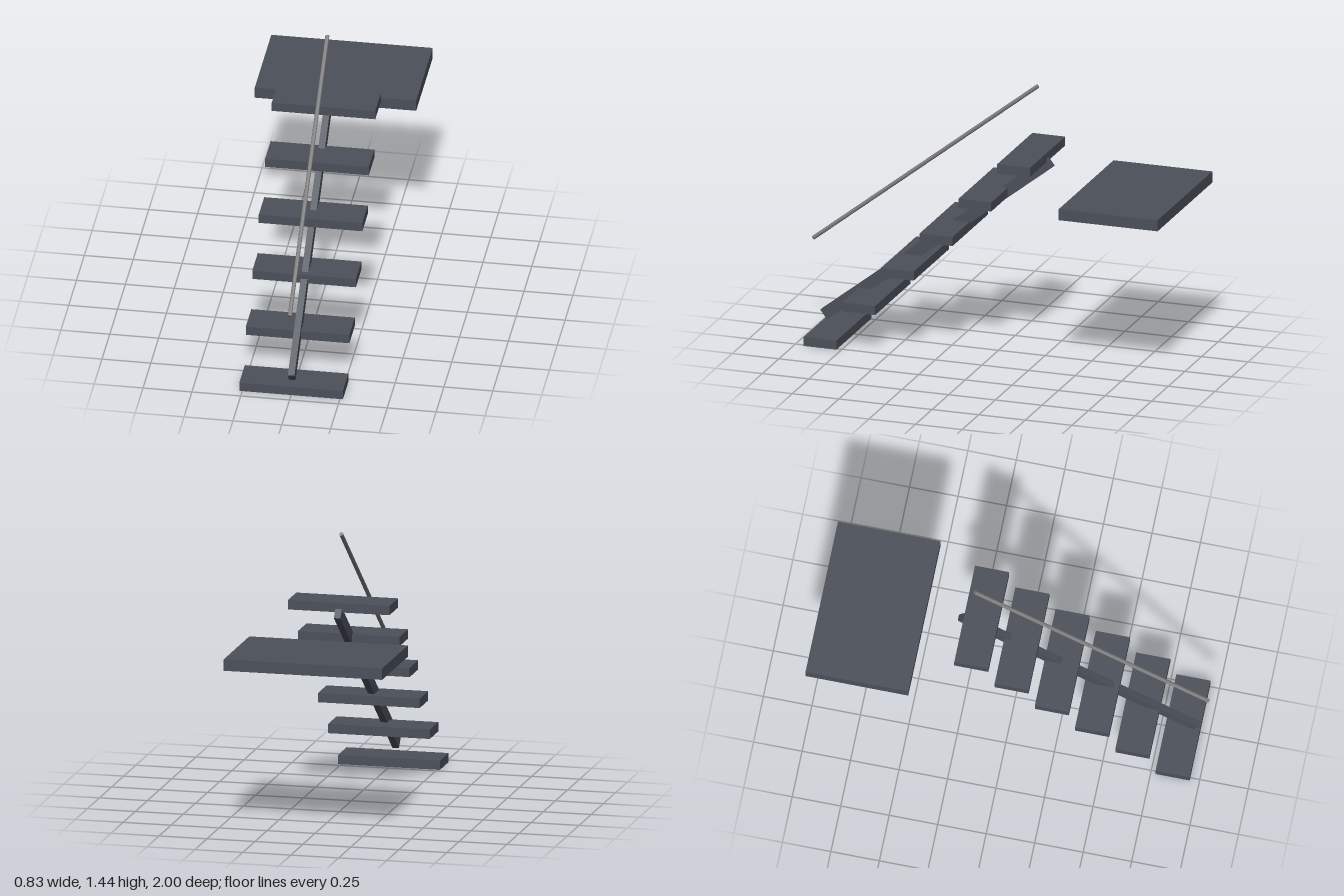
import * as THREE from 'three';

export function createModel() {
  const group = new THREE.Group();
  const slate = new THREE.MeshStandardMaterial({ color: 0x4b505a });
  slate.name = 'slate grey';
  const steel = new THREE.MeshStandardMaterial({ color: 0x808080, flatShading: true });
  steel.name = 'steel grey';

  function add(name, geometry, material, y, z) {
    const mesh = new THREE.Mesh(geometry, material);
    mesh.name = name;
    mesh.position.set(0, y, z);
    group.add(mesh);
    return mesh;
  }

  // Sloping part whose geometry runs along z, from a low front end to a high back end
  function addSloped(name, makeGeometry, material, [y0, z0], [y1, z1]) {
    const geometry = makeGeometry(Math.hypot(y1 - y0, z1 - z0));
    const mesh = add(name, geometry, material, (y0 + y1) / 2, (z0 + z1) / 2);
    mesh.rotation.x = Math.atan2(y1 - y0, z0 - z1);
  }

  // Six evenly rising treads
  const treadGeometry = new THREE.BoxGeometry(0.53, 0.048, 0.176);
  for (let i = 0; i < 6; i++) {
    add(`tread${i + 1}`, treadGeometry, slate, 0.024 + i * 0.2074, 0.863 - i * 0.2076);
  }

  // Landing behind the flight
  add('landing', new THREE.BoxGeometry(0.826, 0.059, 0.53), slate, 0.906, -0.735);

  // Single central stringer under the treads
  addSloped('stringer', (l) => new THREE.BoxGeometry(0.034, 0.06, l), slate,
    [0.091, 0.932], [1.037, -0.277]);

  // Thin round handrail above the centre line
  addSloped('handrail', (l) => new THREE.CylinderGeometry(0.0105, 0.0105, l, 8).rotateX(Math.PI / 2), steel,
    [0.488, 0.994], [1.432, -0.211]);

  return group;
}
